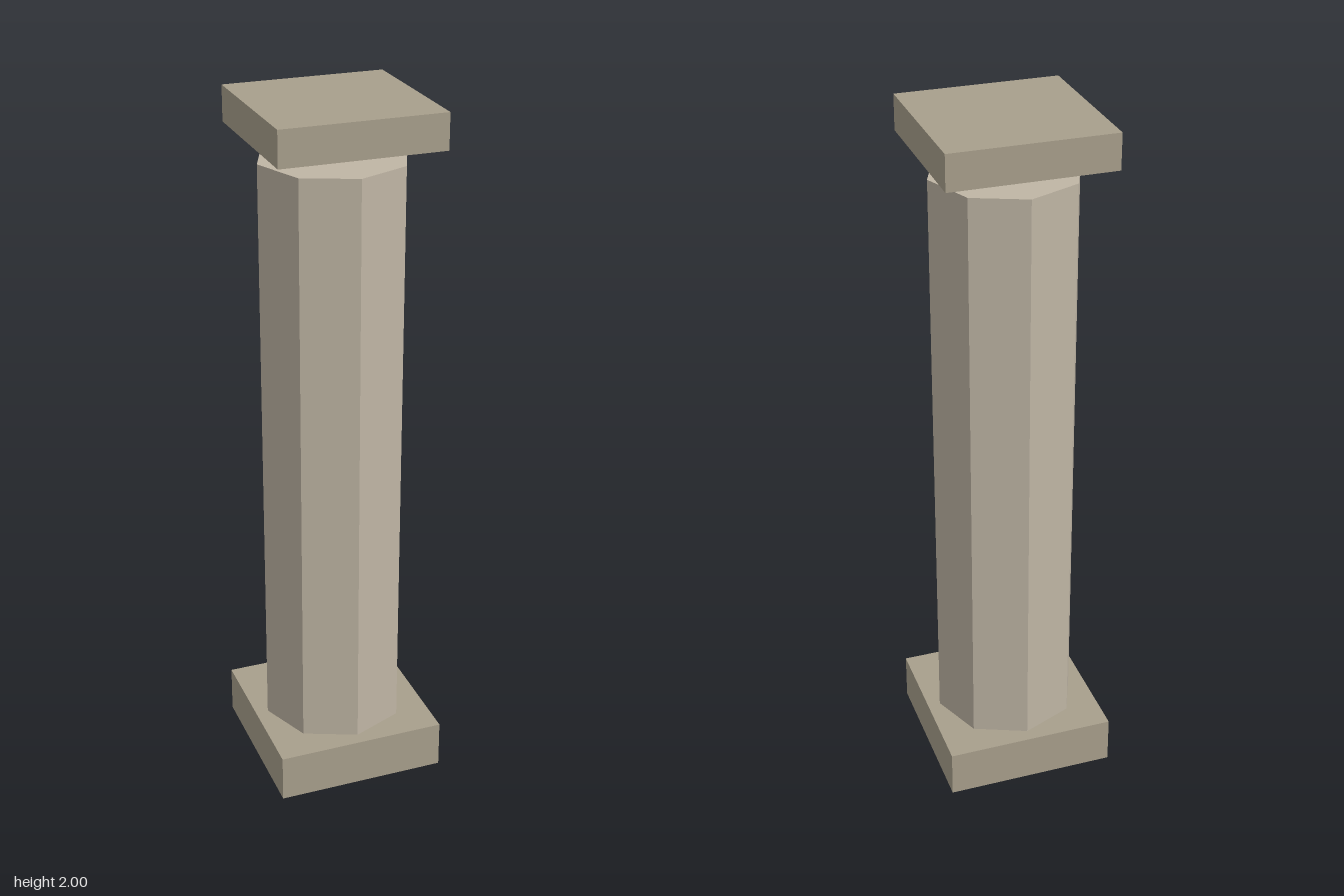
import * as THREE from 'three';

export function createModel() {
  const group = new THREE.Group();
  const slabStone = new THREE.MeshStandardMaterial({ color: 0xa89f8c, flatShading: true });
  const shaftStone = new THREE.MeshStandardMaterial({ color: 0xbfb5a4, flatShading: true });

  // Adds a part spanning from height y0 to y1
  function add(name, geometry, material, y0, y1) {
    const mesh = new THREE.Mesh(geometry, material);
    mesh.name = name;
    mesh.position.y = (y0 + y1) / 2;
    group.add(mesh);
  }

  // Square base slab
  add('base', new THREE.BoxGeometry(0.495, 0.14, 0.495), slabStone, 0, 0.14);

  // Octagonal shaft with closed ends
  add('shaft', new THREE.CylinderGeometry(0.21, 0.21, 1.705, 8), shaftStone, 0.14, 1.845);

  // Square cap slab, floating just above the shaft
  add('capital', new THREE.BoxGeometry(0.46, 0.1, 0.46), slabStone, 1.9, 2);

  return group;
}
